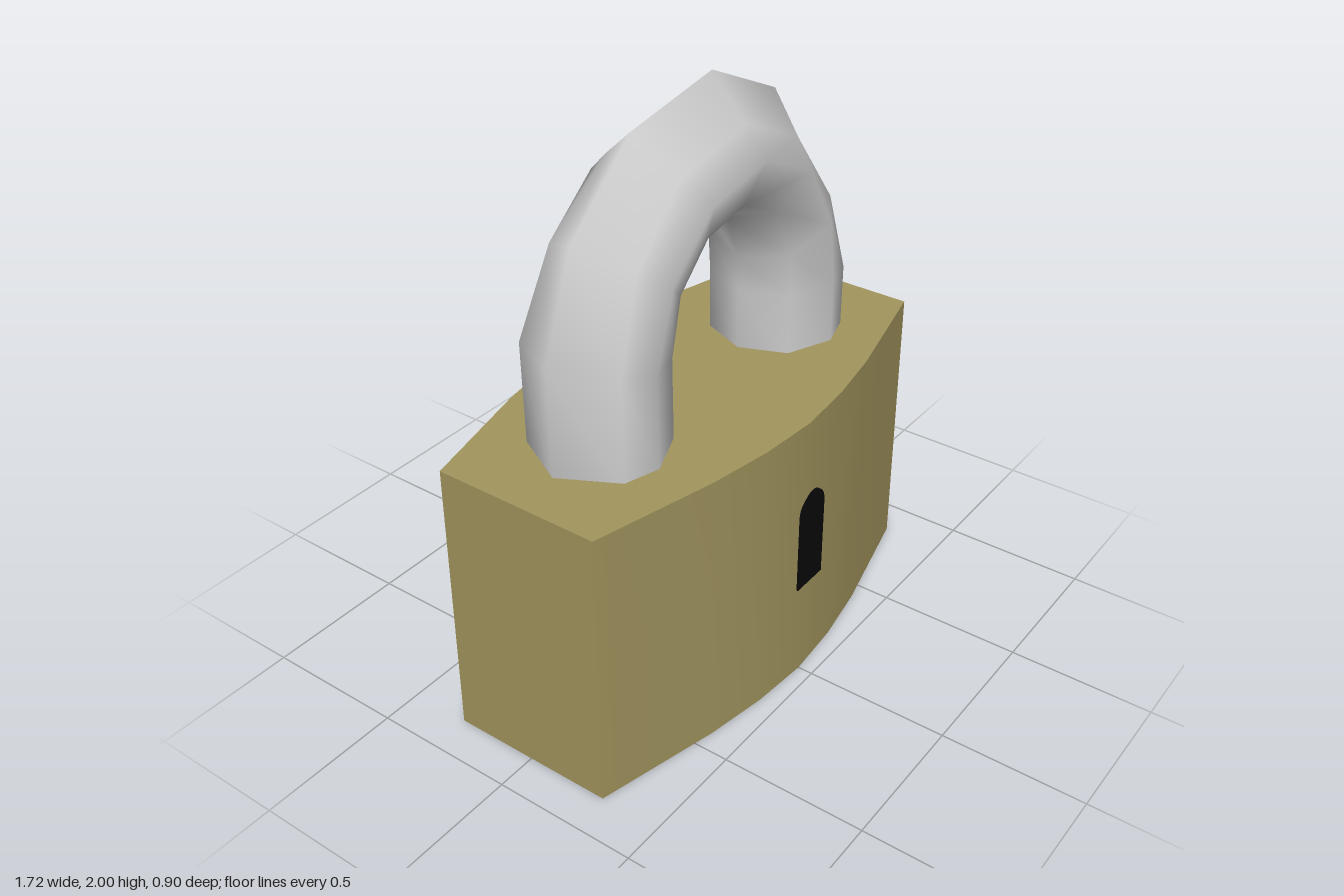
import * as THREE from 'three';
import { toCreasedNormals } from 'three/addons/utils/BufferGeometryUtils.js';

function mesh(name, geometry, color) {
  const m = new THREE.Mesh(geometry, new THREE.MeshStandardMaterial({ color }));
  m.name = name;
  return m;
}

// Bowed block: plan outline extruded upwards, smooth faces and sharp edges
function bodyGeometry() {
  const bow = [[-0.86, 0.29], [-0.43, 0.395], [-0.21, 0.432], [0, 0.448], [0.21, 0.432], [0.43, 0.395], [0.86, 0.29]];
  const outline = [...bow.map(([x, z]) => [x, -z]), ...bow.slice().reverse()];
  const shape = new THREE.Shape(outline.map(([x, y]) => new THREE.Vector2(x, y)));
  const g = new THREE.ExtrudeGeometry(shape, { depth: 0.985, bevelEnabled: false });
  g.rotateX(-Math.PI / 2);
  return toCreasedNormals(g, 0.5);
}

// Thin arched plate
function keyholeGeometry() {
  const r = 0.07;
  const shape = new THREE.Shape();
  shape.moveTo(-r, 0.35);
  shape.lineTo(r, 0.35);
  shape.lineTo(r, 0.64);
  shape.absarc(0, 0.64, r, 0, Math.PI, false);
  shape.closePath();
  const g = new THREE.ExtrudeGeometry(shape, { depth: 0.05, bevelEnabled: false, curveSegments: 8 });
  return g.translate(0.04, 0, 0.401);
}

// Hand-shaped low-poly loop: each ring spans an outer and an inner point;
// the last value flattens the outer shoulders towards a ridge
function shackleGeometry() {
  const rings = [
    [-0.69, 0.95, -0.245, 0.95, 0],
    [-0.697, 1.36, -0.25, 1.25, 0],
    [-0.57, 1.69, -0.22, 1.42, 0.6],
    [-0.29, 1.935, -0.11, 1.53, 1],
    [0.1, 2.0, 0.04, 1.56, 1],
    [0.44, 1.84, 0.19, 1.48, 1],
    [0.65, 1.53, 0.25, 1.32, 0.6],
    [0.703, 1.2, 0.253, 1.2, 0],
    [0.70, 0.95, 0.255, 0.95, 0],
  ];
  const angles = [0, 57, 90, 135, 180, 225, 270, 303];
  const n = angles.length, depth = 0.225;
  const pos = [], index = [];
  rings.forEach(([ox, oy, ix, iy, flat], i) => {
    angles.forEach((deg, j) => {
      const a = THREE.MathUtils.degToRad(deg);
      const s = j === 1 || j === n - 1 ? 1 - 0.26 * flat : 1;
      const c = Math.cos(a) * s / 2;
      pos.push((ox + ix) / 2 + (ox - ix) * c, (oy + iy) / 2 + (oy - iy) * c, depth * Math.sin(a) * s);
      if (i < rings.length - 1) {
        const p = i * n + j, q = i * n + (j + 1) % n;
        index.push(p, q, p + n, q, q + n, p + n);
      }
    });
  });
  const g = new THREE.BufferGeometry();
  g.setAttribute('position', new THREE.Float32BufferAttribute(pos, 3));
  g.setIndex(index);
  g.computeVertexNormals();
  return g;
}

export function createModel() {
  const group = new THREE.Group();
  group.name = 'padlock';
  group.add(
    mesh('body', bodyGeometry(), 0xa2955e),
    mesh('keyhole', keyholeGeometry(), 0x080808),
    mesh('shackle', shackleGeometry(), 0xcccccc),
  );
  return group;
}
